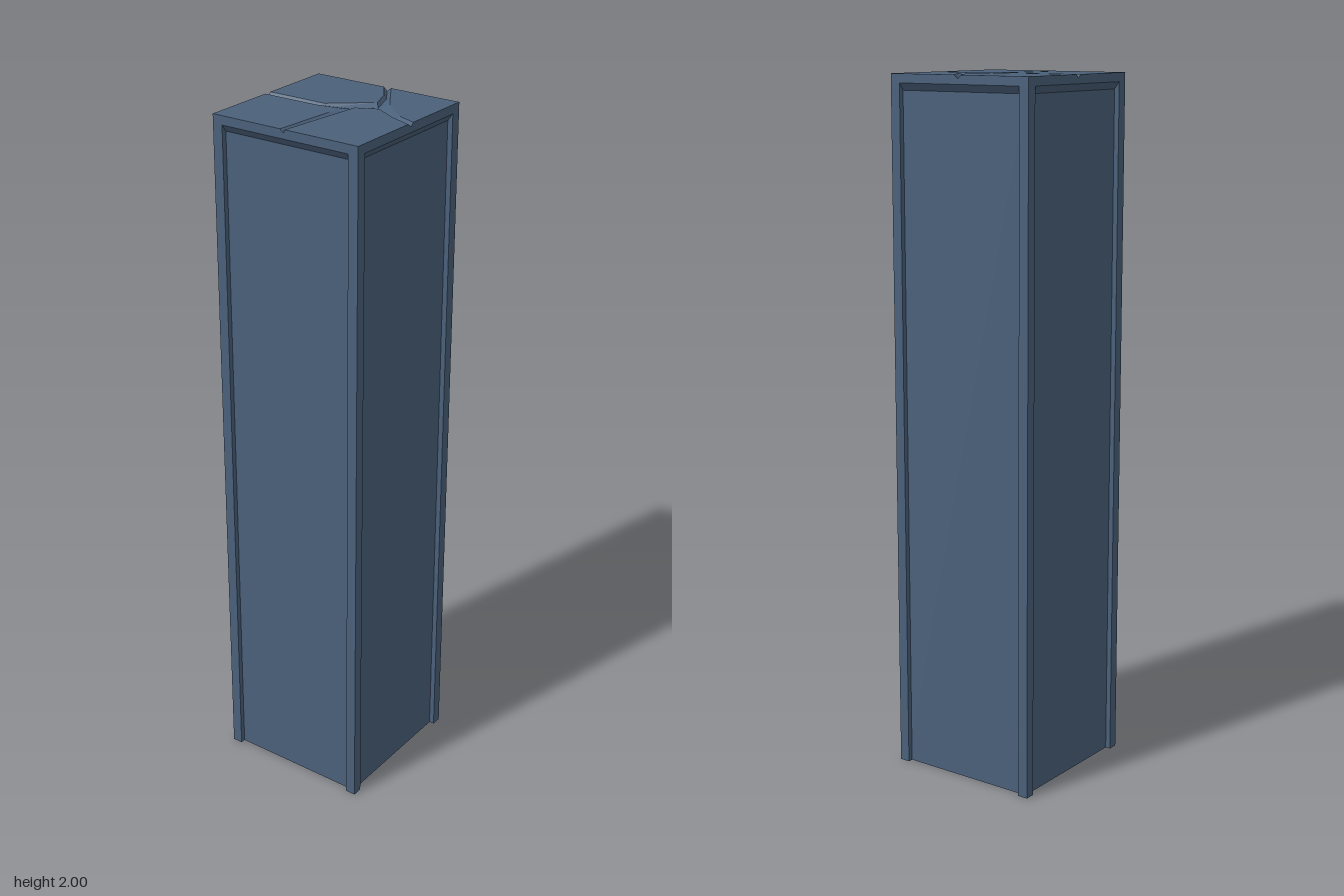
import * as THREE from 'three';

const H = 0.23, PANEL = 0.215, POST = 0.03;
const TOP = 2, FLOOR = 1.99, RIM = 1.975, CHAMFER = 1.955;

// Four slabs of the broken top: rim of each slab [x, z], the crack floor below it, and its outer corner
const SLABS = [
  { name: 'topSlabBackRight', corner: [-H, -H],
    rim: [[-H, -0.012], [-0.05, -0.012], [0.058, -0.1], [0.034, -0.165], [-0.011, -H]],
    floor: [[-H, -0.002], [-0.05, -0.001], [0.07, -0.086], [0.042, -0.165], [0, -H]] },
  { name: 'topSlabBackLeft', corner: [H, -H],
    rim: [[0.013, -H], [0.048, -0.175], [0.098, -0.099], [0.175, -0.033], [H, -0.012]],
    floor: [[0, -H], [0.042, -0.165], [0.072, -0.085], [0.17, -0.024], [H, -0.002]] },
  { name: 'topSlabFrontLeft', corner: [H, H],
    rim: [[H, 0.01], [0.165, -0.015], [0.095, -0.055], [0.036, -0.027], [0.003, H]],
    floor: [[H, -0.002], [0.17, -0.024], [0.072, -0.085], [0.031, -0.036], [0, H]] },
  { name: 'topSlabFrontRight', corner: [-H, H],
    rim: [[-0.011, H], [0.007, 0.035], [-0.002, 0], [-0.06, 0.01], [-H, 0.01]],
    floor: [[0, H], [0.031, -0.036], [0.02, -0.04], [-0.05, -0.001], [-H, -0.002]] },
];

// Wall between an upper and a lower loop with the same number of points
function loopWall(upper, lower) {
  const pos = [];
  upper.forEach((u, i) => {
    const j = (i + 1) % upper.length;
    const a = [lower[i][0], FLOOR, lower[i][1]], b = [lower[j][0], FLOOR, lower[j][1]];
    const c = [upper[j][0], TOP, upper[j][1]], d = [u[0], TOP, u[1]];
    pos.push(...a, ...b, ...c, ...a, ...c, ...d);
  });
  const geo = new THREE.BufferGeometry();
  geo.setAttribute('position', new THREE.Float32BufferAttribute(pos, 3));
  geo.computeVertexNormals();
  return geo;
}

export function createModel() {
  const model = new THREE.Group();
  model.name = 'pillar';
  const stone = new THREE.MeshStandardMaterial({ color: 0x4a607a });
  stone.name = 'blueStone';

  const add = (name, geo, x = 0, y = 0, z = 0, parent = model) => {
    const mesh = new THREE.Mesh(geo, stone);
    mesh.name = name;
    mesh.position.set(x, y, z);
    parent.add(mesh);
    return mesh;
  };

  // Shaft with the recessed panels
  add('shaft', new THREE.BoxGeometry(2 * PANEL, RIM, 2 * PANEL), 0, RIM / 2, 0);

  // Corner posts framing the panels
  const c = H - POST / 2;
  for (const x of [-c, c]) for (const z of [-c, c]) {
    add('cornerPost', new THREE.BoxGeometry(POST, RIM, POST), x, RIM / 2, z);
  }

  // Chamfer sloping out from the panels to the head
  const slope = new THREE.CylinderGeometry(H * Math.SQRT2, PANEL * Math.SQRT2, RIM - CHAMFER, 4, 1, true)
    .rotateY(Math.PI / 4).toNonIndexed();
  slope.computeVertexNormals();
  add('panelChamfer', slope, 0, (RIM + CHAMFER) / 2, 0);

  // Head, whose top is the floor of the cracks
  add('head', new THREE.BoxGeometry(2 * H, FLOOR - RIM, 2 * H), 0, (FLOOR + RIM) / 2, 0);

  // Cracked top
  for (const { name, corner, rim, floor } of SLABS) {
    const slab = new THREE.Group();
    slab.name = name;
    model.add(slab);
    const outline = [...rim, corner];
    const shape = new THREE.Shape(outline.map(([x, z]) => new THREE.Vector2(x, -z)));
    add('slabFace', new THREE.ShapeGeometry(shape).rotateX(-Math.PI / 2), 0, TOP, 0, slab);
    add('slabEdge', loopWall(outline, [...floor, corner]), 0, 0, 0, slab);
  }
  return model;
}
